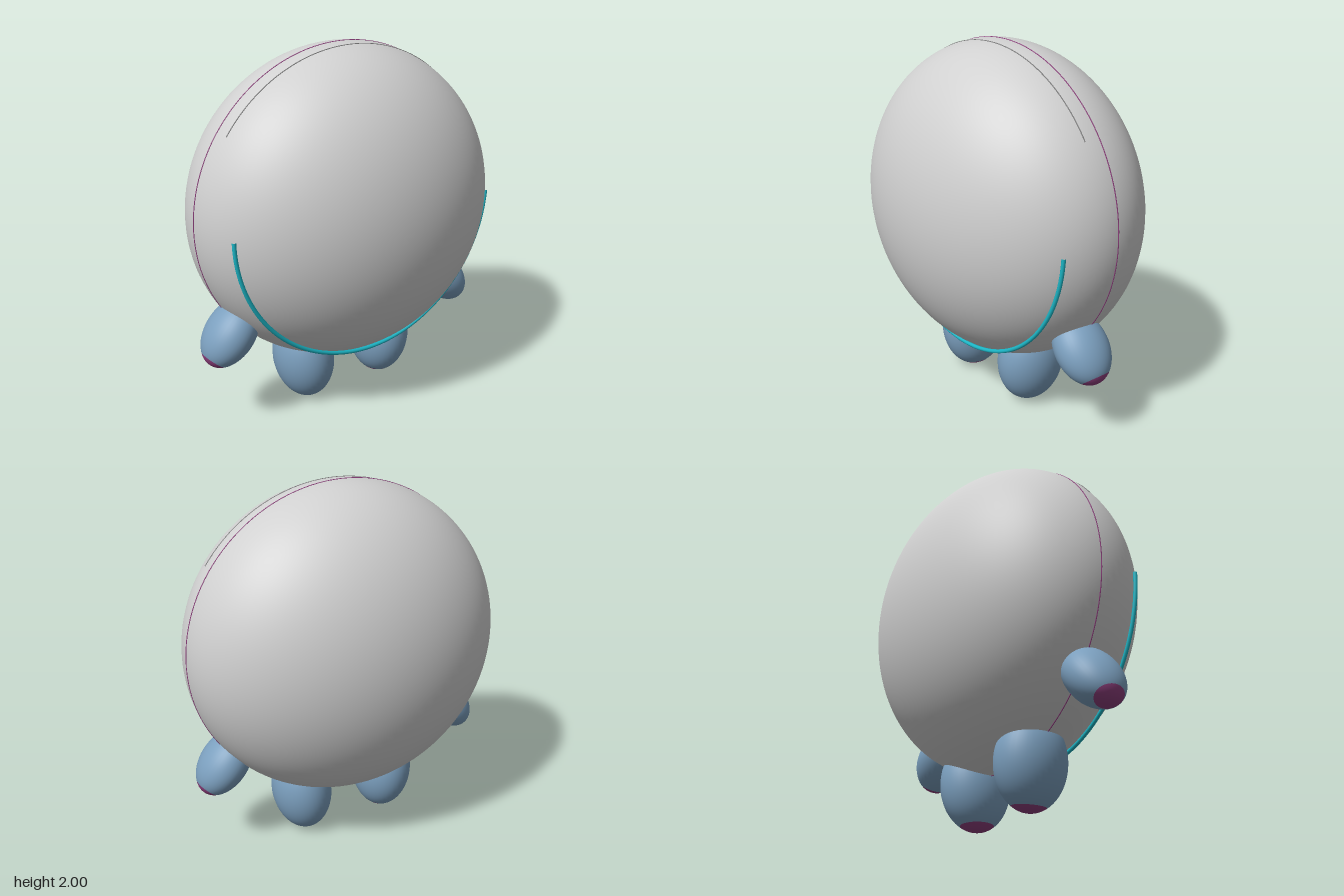
import * as THREE from 'three';

const mat = (name, color, side = THREE.FrontSide) => {
  const m = new THREE.MeshStandardMaterial({ color, side });
  m.name = name;
  return m;
};

export function createModel() {
  const grey = mat('shell grey', 0xd0d0d0);
  const blue = mat('limb blue', 0x7b9fbe, THREE.DoubleSide);
  const purple = mat('tip purple', 0x8e3f7d, THREE.DoubleSide);
  const teal = mat('band teal', 0x1cb6c6);
  const dark = mat('seam grey', 0x808080);

  const group = new THREE.Group();
  const add = (parent, name, geometry, material) => {
    const mesh = new THREE.Mesh(geometry, material);
    mesh.name = name;
    parent.add(mesh);
    return mesh;
  };

  // Ellipsoid body
  const cy = 1.135, rx = 0.888, ry = 0.865, rz = 0.631;
  const body = add(group, 'body', new THREE.SphereGeometry(1, 96, 64), grey);
  body.scale.set(rx, ry, rz);
  body.position.y = cy;

  // Fine seams following the body's cross-section at a given z
  const seam = (name, z, from, to, material) => {
    const s = Math.sqrt(1 - (z / rz) ** 2);
    const points = [];
    for (let i = 0; i <= 96; i++) {
      const a = from + (to - from) * i / 96;
      points.push(new THREE.Vector3(rx * s * Math.cos(a), cy + ry * s * Math.sin(a), z));
    }
    const curve = new THREE.CatmullRomCurve3(points);
    add(group, name, new THREE.TubeGeometry(curve, 160, 0.003, 6), material);
  };
  seam('middleSeam', 0, 0, Math.PI * 2, purple);
  seam('frontSeam', 0.085, 0.6, Math.PI - 0.6, dark);

  // Half-ring band hanging in front of the lower body
  const band = add(group, 'band', new THREE.TorusGeometry(0.812, 0.011, 10, 96, Math.PI - 0.055), teal);
  band.rotation.z = Math.PI;
  band.position.set(0, 1.158, 0.28);

  // Egg-shaped limb with a coloured tip at its lower end
  const limb = (name, position, radii, tilt, cap) => {
    const g = new THREE.Group();
    g.name = name;
    add(g, name + 'Main', new THREE.SphereGeometry(1, 40, 28, 0, Math.PI * 2, 0, Math.PI - cap), blue);
    add(g, name + 'Tip', new THREE.SphereGeometry(1, 40, 8, 0, Math.PI * 2, Math.PI - cap, cap), purple);
    g.scale.set(...radii);
    g.position.set(...position);
    g.rotation.z = tilt;
    group.add(g);
  };
  for (const [side, s] of [['left', 1], ['right', -1]]) {
    limb(side + 'Foot', [s * 0.265, 0.252, 0], [0.166, 0.25, 0.196], -s * 0.1, 0.5);
  }
  // The right arm sits a little higher and further out
  limb('leftArm', [0.706, 0.518, 0.038], [0.125, 0.2, 0.153], 0.69, 0.57);
  limb('rightArm', [-0.736, 0.552, 0.038], [0.125, 0.2, 0.153], -0.69, 0.57);

  return group;
}
